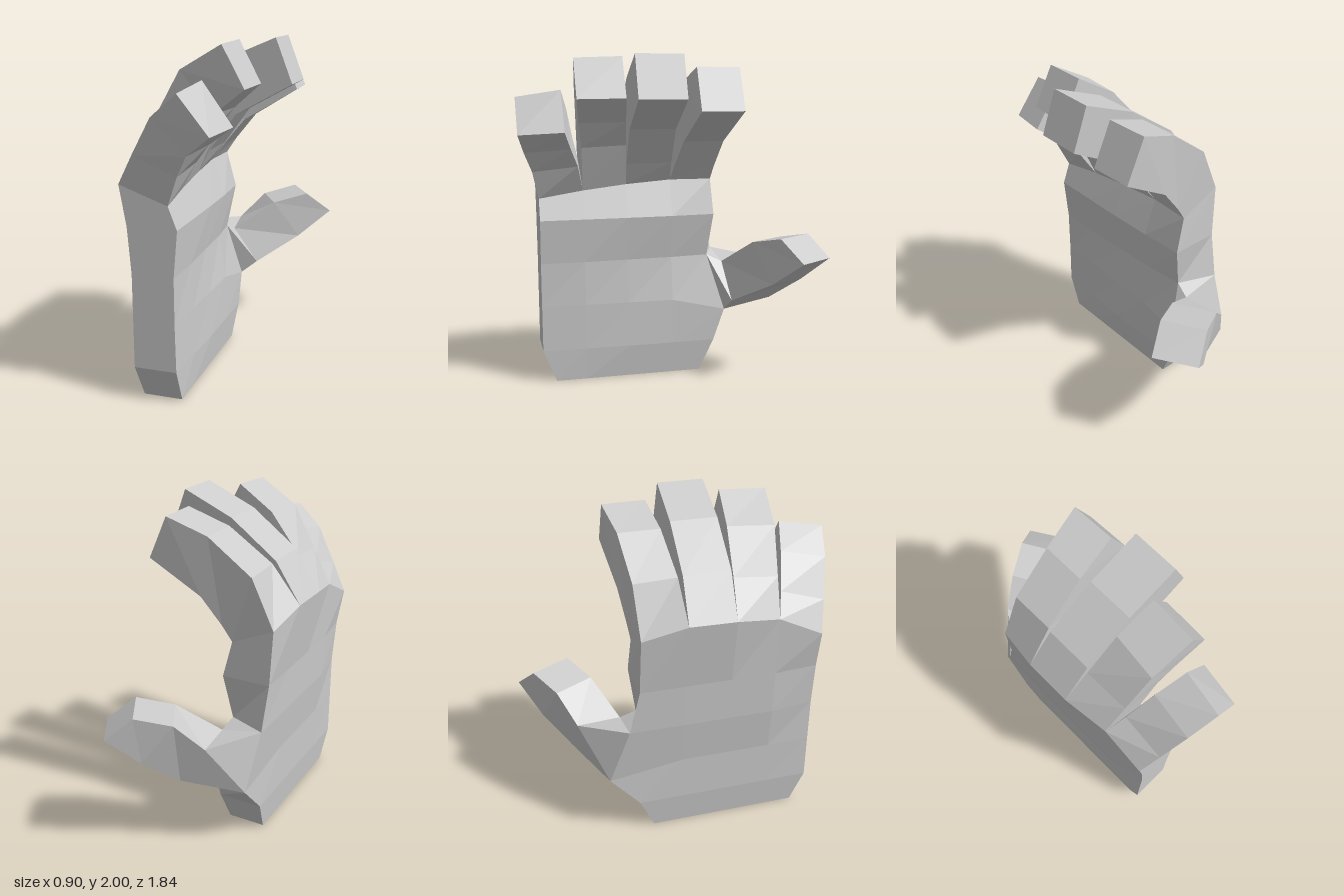
import * as THREE from 'three';

const material = new THREE.MeshStandardMaterial({ color: 0xcccccc, flatShading: true });

// Skin a row of equal-length rings (counterclockwise about the growing direction).
function loft(name, rings, { capStart = false, capEnd = false, skip = () => false } = {}) {
  const pos = [];
  const tri = (a, b, c) => pos.push(...a, ...b, ...c);
  const n = rings[0].length;
  for (let r = 0; r < rings.length - 1; r++) {
    for (let i = 0; i < n; i++) {
      if (skip(r, i)) continue;
      const j = (i + 1) % n;
      const [a, b, c, d] = [rings[r][i], rings[r][j], rings[r + 1][j], rings[r + 1][i]];
      tri(a, b, c);
      tri(a, c, d);
    }
  }
  const first = rings[0], last = rings[rings.length - 1];
  for (let i = 1; i < n - 1; i++) {
    if (capStart) tri(first[0], first[i + 1], first[i]);
    if (capEnd) tri(last[0], last[i], last[i + 1]);
  }
  const geometry = new THREE.BufferGeometry();
  geometry.setAttribute('position', new THREE.Float32BufferAttribute(pos, 3));
  geometry.computeVertexNormals();
  const mesh = new THREE.Mesh(geometry, material);
  mesh.name = name;
  return mesh;
}

// Knuckle line: one column per gap between fingers, from little finger to index.
const COLUMN_Z = [0.79, 0.52, 0.25, -0.03, -0.29];
const KNUCKLE_IN = [[-0.13, 1.15], [-0.145, 1.19], [-0.155, 1.22], [-0.165, 1.24], [-0.155, 1.24]];
const KNUCKLE_OUT = [[-0.41, 1.25], [-0.41, 1.38], [-0.45, 1.42], [-0.45, 1.425], [-0.41, 1.35]];

// Thumb root, shared by palm and thumb.
const ROOT = [[-0.08, 0.40, -0.37], [-0.34, 0.40, -0.48], [-0.38, 0.75, -0.36], [-0.15, 0.75, -0.27]];

function palm() {
  // Per row: height, z of little finger side, z of thumb side, x of the back edge
  // and back middle, then x of the five palm columns.
  const rows = [
    [0, 0.71, -0.21, -0.33, -0.33, [-0.10, -0.10, -0.10, -0.10, -0.10]],
    [0.2, 0.79, -0.30, -0.35, -0.35, [-0.10, -0.09, -0.08, -0.08, -0.08]],
    [0.48, 0.79, -0.37, -0.35, -0.355, [-0.105, -0.095, -0.09, -0.085, -0.08]],
    [0.75, 0.79, -0.27, -0.35, -0.385, [-0.105, -0.105, -0.115, -0.125, -0.15]],
    [1.02, 0.79, -0.30, -0.37, -0.395, [-0.08, -0.08, -0.08, -0.085, -0.10]],
  ];
  const rings = rows.map(([y, z0, z1, edgeOut, midOut, frontX]) => {
    const zs = [z0, ...COLUMN_Z.slice(1, 4), z1];
    const front = zs.map((z, i) => [frontX[i], y, z]);
    const back = zs.map((z, i) => [i === 0 ? edgeOut : midOut, y, z]);
    return [...front, ...back.reverse()];
  });
  [rings[2][4], rings[2][5], rings[3][5], rings[3][4]] = ROOT;
  rings.push([
    ...COLUMN_Z.map((z, i) => [...KNUCKLE_IN[i], z]),
    ...COLUMN_Z.map((z, i) => [...KNUCKLE_OUT[i], z]).reverse(),
  ]);
  // Leave the opening where the thumb grows out.
  return loft('palm', rings, { capStart: true, skip: (r, i) => r === 2 && i === 4 });
}

// Each finger's joints: inner x, y, outer x, y, z high, z low,
// then how far the z-low side shifts in x and how far its outer corner rises.
const FINGERS = {
  littleFinger: [
    [-0.06, 1.32, -0.31, 1.42, 0.83, 0.56, 0.01, 0.08],
    [0.01, 1.44, -0.18, 1.63, 0.88, 0.61, 0.03, 0.05],
    [0.15, 1.55, -0.02, 1.76, 0.92, 0.66, 0.04, 0.04]],
  ringFinger: [
    [-0.03, 1.46, -0.29, 1.59, 0.54, 0.27, -0.01, 0.03],
    [0.05, 1.61, -0.14, 1.84, 0.565, 0.29, 0.03, 0.01],
    [0.23, 1.75, 0.105, 1.98, 0.595, 0.315, 0.01, 0.01]],
  middleFinger: [
    [-0.08, 1.355, -0.29, 1.66, 0.26, -0.02, 0, 0],
    [0.08, 1.57, 0, 1.87, 0.27, -0.01, 0, 0],
    [0.405, 1.75, 0.31, 2, 0.28, 0, 0, 0]],
  indexFinger: [
    [-0.095, 1.335, -0.28, 1.65, -0.045, -0.30, 0, -0.01],
    [0.03, 1.49, -0.02, 1.84, -0.07, -0.32, 0, 0],
    [0.345, 1.68, 0.23, 1.93, -0.095, -0.355, -0.01, 0]],
};

function finger([name, joints], i) {
  const rings = [[
    [...KNUCKLE_IN[i], COLUMN_Z[i]], [...KNUCKLE_IN[i + 1], COLUMN_Z[i + 1]],
    [...KNUCKLE_OUT[i + 1], COLUMN_Z[i + 1]], [...KNUCKLE_OUT[i], COLUMN_Z[i]],
  ]];
  for (const [xi, yi, xo, yo, zh, zl, shift, rise] of joints) {
    rings.push([
      [xi, yi, zh], [xi + shift, yi + rise / 3, zl],
      [xo + shift, yo + rise, zl], [xo, yo, zh],
    ]);
  }
  return loft(name, rings, { capEnd: true });
}

function thumb() {
  return loft('thumb', [
    ROOT,
    [[0.02, 0.48, -0.39], [-0.01, 0.48, -0.65], [-0.165, 0.715, -0.63], [-0.13, 0.705, -0.365]],
    [[0.26, 0.63, -0.57], [0.15, 0.63, -0.80], [-0.02, 0.87, -0.72], [0.11, 0.87, -0.49]],
    [[0.45, 0.79, -0.69], [0.31, 0.79, -0.915], [0.17, 0.92, -0.83], [0.305, 0.92, -0.60]],
  ], { capEnd: true });
}

export function createModel() {
  const hand = new THREE.Group();
  hand.name = 'hand';
  hand.add(palm(), ...Object.entries(FINGERS).map(finger), thumb());
  return hand;
}
